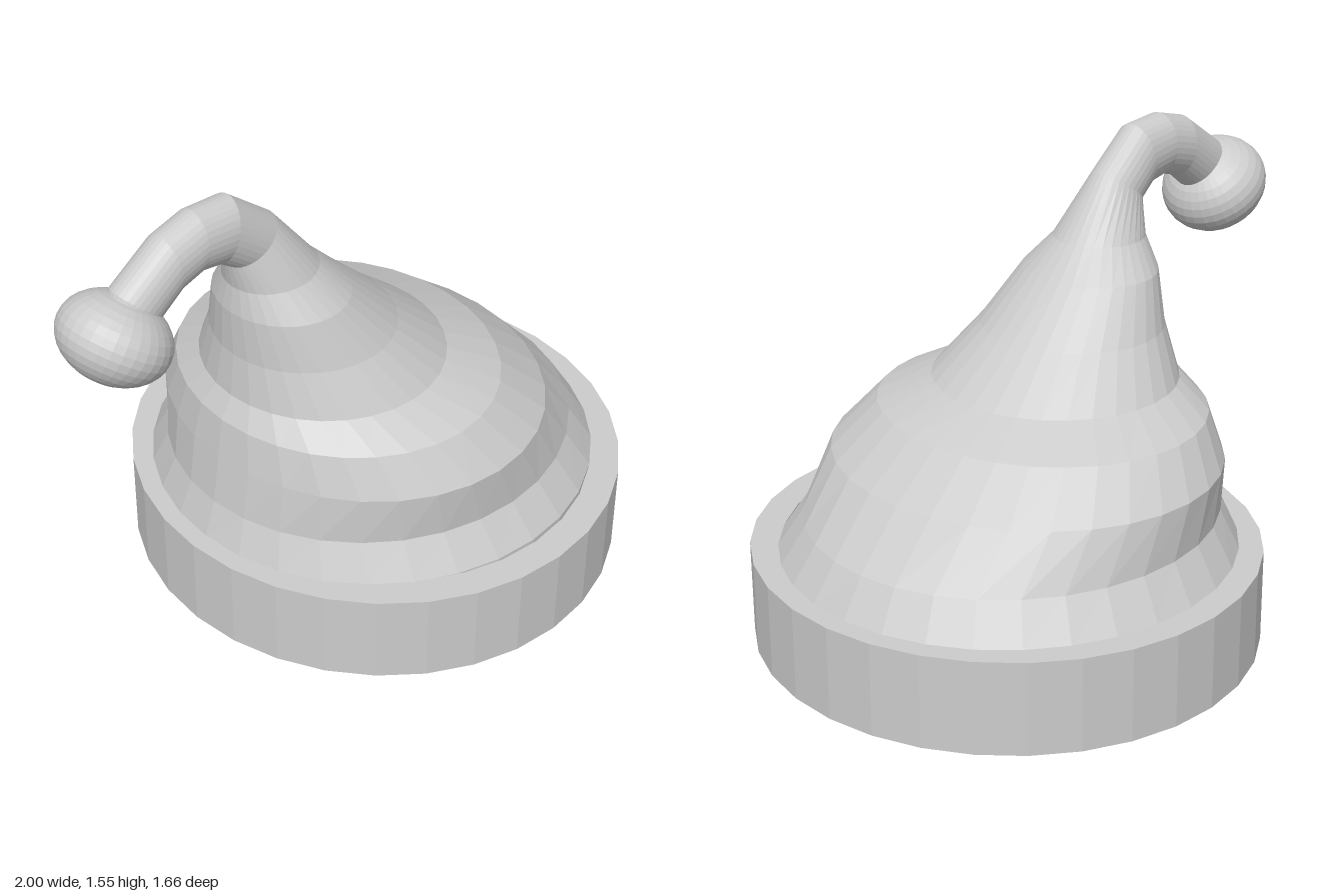
import * as THREE from 'three';

const SIDES = 32;
const MID_Z = -0.01;
const material = new THREE.MeshStandardMaterial({ color: 0xcccccc, flatShading: true });

function add(group, name, geometry) {
  const mesh = new THREE.Mesh(geometry, material);
  mesh.name = name;
  group.add(mesh);
  return mesh;
}

// Skin over elliptical rings: [left x, left y, right x, right y, half depth]
function loft(rings) {
  const pos = [];
  const index = [];
  for (const [xl, yl, xr, yr, depth] of rings) {
    for (let j = 0; j < SIDES; j++) {
      const a = (j / SIDES) * Math.PI * 2;
      const t = (1 + Math.cos(a)) / 2;
      pos.push(xl + (xr - xl) * t, yl + (yr - yl) * t, MID_Z + depth * Math.sin(a));
    }
  }
  for (let i = 0; i < rings.length - 1; i++) {
    for (let j = 0; j < SIDES; j++) {
      const k = (j + 1) % SIDES;
      const a = i * SIDES + j, b = i * SIDES + k;
      index.push(a, a + SIDES, b, b, a + SIDES, b + SIDES);
    }
  }
  // Flat cap over the first ring
  for (let j = 1; j < SIDES - 1; j++) index.push(0, j, j + 1);
  const g = new THREE.BufferGeometry();
  g.setAttribute('position', new THREE.Float32BufferAttribute(pos, 3));
  g.setIndex(index);
  g.computeVertexNormals();
  return g;
}

export function createModel() {
  const hat = new THREE.Group();
  hat.name = 'hat';

  // Thick band around the opening
  const profile = [[0.88, 0], [1, 0], [1, 0.31], [0.88, 0.31], [0.88, 0]]
    .map(([r, y]) => new THREE.Vector2(r, y));
  const band = add(hat, 'band', new THREE.LatheGeometry(profile, SIDES).scale(0.8, 1, 0.83));
  band.position.x = 0.2;

  // Leaning cone that narrows into the drooping tip
  add(hat, 'cone', loft([
    [-0.54, 0.02, 0.935, 0.02, 0.73],
    [-0.54, 0.31, 0.935, 0.31, 0.73],
    [-0.5, 0.43, 0.86, 0.43, 0.65],
    [-0.475, 0.6, 0.7, 0.6, 0.65],
    [-0.455, 0.735, 0.53, 0.735, 0.55],
    [-0.415, 0.81, 0.36, 0.81, 0.4],
    [-0.4, 0.96, 0.18, 0.96, 0.3],
    [-0.405, 1.12, 0.01, 1.12, 0.225],
    [-0.395, 1.21, -0.09, 1.22, 0.145],
    [-0.41, 1.295, -0.24, 1.41, 0.085],
    [-0.46, 1.33, -0.4, 1.54, 0.08],
    [-0.54, 1.345, -0.54, 1.548, 0.08],
    [-0.62, 1.32, -0.66, 1.515, 0.08],
    [-0.69, 1.265, -0.83, 1.4, 0.08],
    [-0.76, 1.2, -0.88, 1.31, 0.07],
  ]));

  // Squashed ball at the end of the tip
  const pompom = add(hat, 'pompom', new THREE.SphereGeometry(0.178, SIDES, 16));
  pompom.scale.y = 0.76;
  pompom.rotation.z = -0.61;
  pompom.position.set(-0.834, 1.243, -0.02);

  return hat;
}
